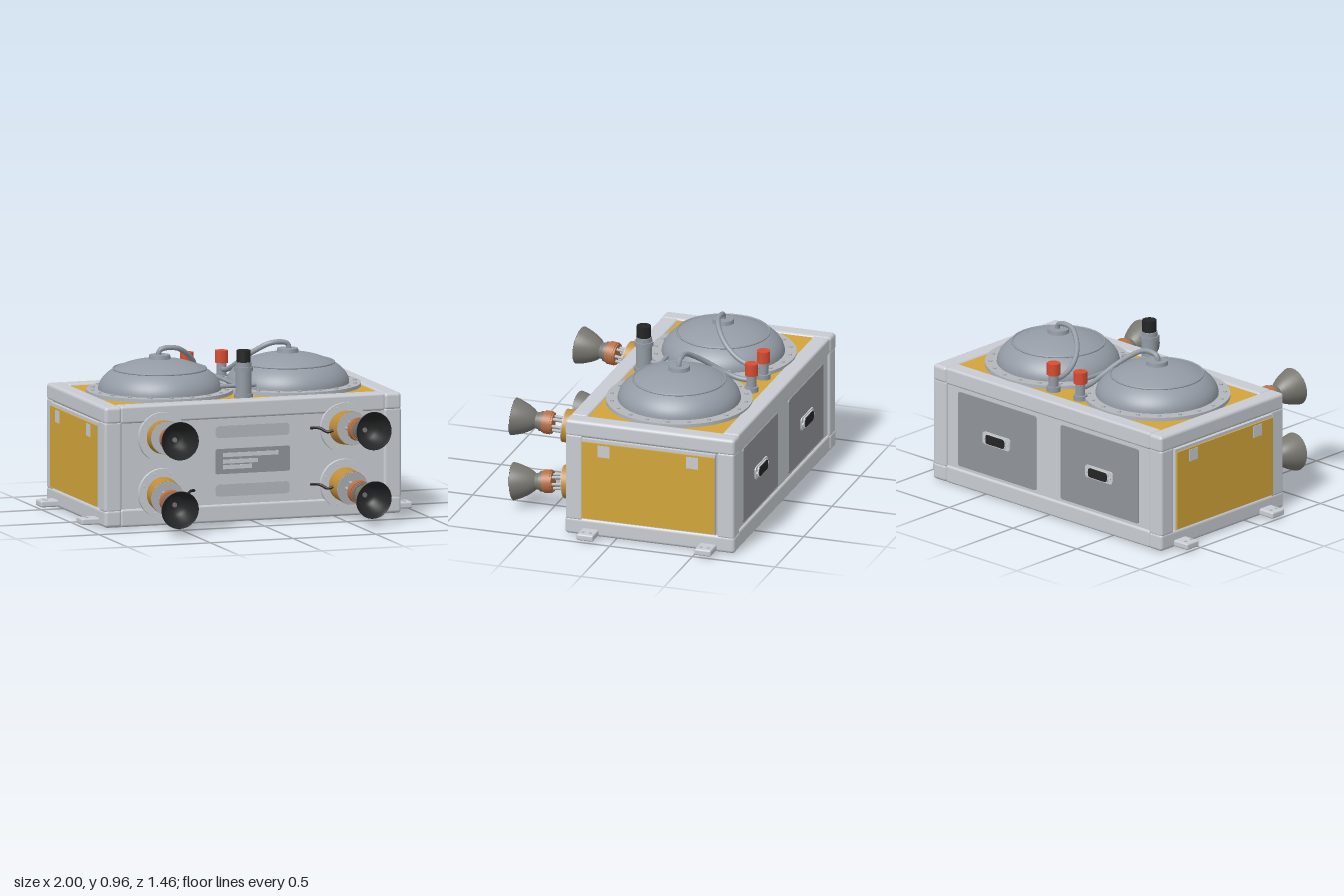
import * as THREE from 'three';
import { RoundedBoxGeometry } from 'three/addons/geometries/RoundedBoxGeometry.js';

const mat = (name, color) => {
  const m = new THREE.MeshStandardMaterial({ color });
  m.name = name;
  return m;
};

export function createModel() {
  const M = {
    frame: mat('light grey frame', 0xc8ccd2),
    pale: mat('mid grey metal', 0xb2b6bb),
    steel: mat('tank steel', 0x949ba5),
    panel: mat('dark grey panel', 0x909499),
    gold: mat('gold foil', 0xd2a53a),
    brass: mat('thruster gold', 0xc18e38),
    copper: mat('copper', 0xb87044),
    bell: mat('nozzle grey', 0x777670),
    black: mat('black', 0x242526),
    red: mat('red cap', 0xd94d33),
  };
  const root = new THREE.Group();
  root.name = 'propulsionModule';

  const add = (parent, name, geo, m, x = 0, y = 0, z = 0) => {
    const mesh = new THREE.Mesh(geo, m);
    mesh.name = name;
    mesh.position.set(x, y, z);
    parent.add(mesh);
    return mesh;
  };
  // Boxes given by their limits on each axis
  const box = (name, m, x0, x1, y0, y1, z0, z1, r = 0) => {
    const [w, h, d] = [x1 - x0, y1 - y0, z1 - z0];
    const geo = r ? new RoundedBoxGeometry(w, h, d, 3, r) : new THREE.BoxGeometry(w, h, d);
    return add(root, name, geo, m, (x0 + x1) / 2, (y0 + y1) / 2, (z0 + z1) / 2);
  };
  // Upright cylinder between two heights
  const cyl = (parent, name, m, r0, r1, y0, y1, x = 0, z = 0, n = 32) =>
    add(parent, name, new THREE.CylinderGeometry(r1, r0, y1 - y0, n), m, x, (y0 + y1) / 2, z);
  const tube = (parent, name, m, pts, r) => add(parent, name, new THREE.TubeGeometry(
    new THREE.CatmullRomCurve3(pts.map(p => new THREE.Vector3(...p))), 40, r, 10), m);
  const lathe = (parent, name, m, pts) => add(parent, name,
    new THREE.LatheGeometry(pts.map(p => new THREE.Vector2(...p)), 48), m);
  // Flat plate with rounded corners, facing +z
  const plate = (w, h, r, t) => {
    const s = new THREE.Shape();
    const [a, b] = [w / 2, h / 2];
    s.absarc(a - r, b - r, r, 0, Math.PI / 2);
    s.absarc(-a + r, b - r, r, Math.PI / 2, Math.PI);
    s.absarc(-a + r, -b + r, r, Math.PI, Math.PI * 1.5);
    s.absarc(a - r, -b + r, r, Math.PI * 1.5, Math.PI * 2);
    return new THREE.ExtrudeGeometry(s, { depth: t, bevelEnabled: false, curveSegments: 6 });
  };

  // Body core, top foil and underside
  box('bodyCore', M.frame, -0.88, 0.88, 0.02, 0.68, -0.7, 0.293);
  box('topFoil', M.gold, -0.8, 0.8, 0.675, 0.69, -0.62, 0.21);
  box('undersidePlate', M.pale, -0.87, 0.87, 0, 0.02, -0.685, 0.275);

  // Frame beams and corner posts
  for (const [y0, y1] of [[0.003, 0.106], [0.6, 0.7]]) {
    for (const z of [-0.715, 0.2]) box('crossBeam', M.frame, -0.8, 0.8, y0, y1, z + 0.002, z + 0.103, 0.014);
    for (const s of [-1, 1]) {
      const b = box('sideBeam', M.frame, 0.793, 0.897, y0, y1, -0.718, 0.308, 0.02);
      b.position.x *= s;
    }
  }
  for (const s of [-1, 1]) {
    for (const z of [-0.715, 0.2]) {
      box('cornerPost', M.frame, 0.793, 0.897, 0.09, 0.615, z, z + 0.105, 0.016).position.x *= s;
    }
    // Foil side panels with pale patches
    box('sidePanelBacking', M.frame, 0.87, 0.904, 0.108, 0.6, -0.605, 0.2).position.x *= s;
    box('sideFoil', M.gold, 0.9, 0.914, 0.115, 0.583, -0.602, 0.198).position.x *= s;
    for (const z of [0.03, -0.505]) {
      box('sidePatch', M.frame, 0.912, 0.917, 0.503, 0.573, z, z + 0.072).position.x *= s;
    }
    // Mounting feet
    for (const z of [0.102, -0.61]) {
      box('foot', M.frame, 0.87, 1, 0.01, 0.048, z, z + 0.1, 0.01).position.x *= s;
      for (const dz of [0.028, 0.072]) cyl(root, 'footBolt', M.pale, 0.009, 0.009, 0.047, 0.051, s * 0.96, z + dz, 12);
    }
  }

  // Front slots and label plate
  for (const y of [0.523, 0.185]) add(root, 'frontSlot', plate(0.445, 0.07, 0.02, 0.005), M.pale, 0, y, 0.291);
  add(root, 'labelPlate', plate(0.45, 0.145, 0.012, 0.007), M.panel, 0, 0.353, 0.292);
  for (const [x1, y] of [[0.155, 0.39], [0.03, 0.352], [-0.005, 0.32]]) {
    box('labelBar', M.frame, -0.18, x1, y - 0.012, y + 0.012, 0.297, 0.302);
  }

  // Rear hatches with connectors
  for (const s of [-1, 1]) {
    const hatch = new THREE.Group();
    hatch.name = 'rearHatch';
    hatch.position.set(s * 0.402, 0.35, -0.699);
    hatch.rotation.y = Math.PI;
    root.add(hatch);
    add(hatch, 'hatchPlate', plate(0.61, 0.45, 0.015, 0.008), M.panel);
    add(hatch, 'connectorPlate', plate(0.215, 0.075, 0.02, 0.01), M.frame, 0, 0, 0.005);
    add(hatch, 'connectorShell', plate(0.152, 0.062, 0.015, 0.01), M.frame, 0, 0, 0.013);
    add(hatch, 'connectorSocket', plate(0.144, 0.054, 0.014, 0.008), M.black, 0, 0, 0.02);
    for (const x of [-0.09, 0.09]) {
      const b = cyl(hatch, 'connectorScrew', M.frame, 0.01, 0.01, 0, 0.012, x, 0.019, 6);
      b.rotation.x = Math.PI / 2;
      b.position.y = 0;
    }
  }

  // Domed tanks with bolted flanges, feed pipes and red valves
  for (const s of [-1, 1]) {
    const tank = new THREE.Group();
    tank.name = 'tank';
    tank.position.set(s * 0.387, 0, -0.21);
    root.add(tank);
    cyl(tank, 'tankFlange', M.pale, 0.42, 0.42, 0.685, 0.711, 0, 0, 64);
    const profile = [];
    for (let i = 0; i <= 20; i++) {
      const a = (i / 20) * Math.PI / 2;
      profile.push([Math.max(0.353 * Math.cos(a), 0.0001), 0.708 + 0.18 * Math.sin(a)]);
    }
    lathe(tank, 'dome', M.steel, profile);
    const seam = add(tank, 'domeSeam', new THREE.TorusGeometry(0.265, 0.006, 8, 64), M.steel, 0, 0.829, 0);
    seam.rotation.x = Math.PI / 2;
    for (let i = 0; i < 20; i++) {
      const a = ((i + 0.5) / 20) * Math.PI * 2;
      cyl(tank, 'flangeBolt', M.pale, 0.011, 0.011, 0.71, 0.718, 0.388 * Math.cos(a), 0.388 * Math.sin(a), 6);
    }
    cyl(tank, 'domeCap', M.steel, 0.064, 0.06, 0.875, 0.908);
    tube(root, 'feedPipe', M.steel, [
      [0.395, 0.895, -0.21], [0.388, 0.932, -0.21], [0.355, 0.945, -0.21], [0.28, 0.94, -0.214],
      [0.21, 0.9, -0.25], [0.15, 0.845, -0.31], [0.115, 0.79, -0.39], [0.105, 0.76, -0.47], [0.105, 0.755, -0.55],
    ].map(([x, y, z]) => [x * s, y, z]), 0.015);
    cyl(root, 'valveBase', M.steel, 0.04, 0.04, 0.685, 0.72, s * 0.105, -0.55);
    cyl(root, 'valveStem', M.steel, 0.028, 0.028, 0.71, 0.8, s * 0.105, -0.55);
    cyl(root, 'valveCap', M.red, 0.04, 0.04, 0.79, 0.86, s * 0.105, -0.55, 8);
  }

  // Filler post and the lines joining it to the tanks
  cyl(root, 'postBase', M.steel, 0.055, 0.055, 0.685, 0.715, 0, 0.137);
  cyl(root, 'post', M.steel, 0.046, 0.046, 0.7, 0.897, 0, 0.137);
  cyl(root, 'postCollar', M.steel, 0.057, 0.057, 0.845, 0.87, 0, 0.137, 8);
  cyl(root, 'postCap', M.black, 0.041, 0.041, 0.895, 0.965, 0, 0.137, 16);
  tube(root, 'centreLine', M.steel, [[0, 0.745, 0.12], [0, 0.745, -0.13], [0, 0.745, -0.39]], 0.012);
  tube(root, 'crossLine', M.steel, [[-0.11, 0.745, 0.035], [0, 0.745, 0.035], [0.11, 0.745, 0.035]], 0.012);

  // Four splayed thrusters
  const up = new THREE.Vector3(0, 1, 0);
  for (const sx of [-1, 1]) for (const sy of [-1, 1]) {
    const [x, y] = [sx * 0.55, 0.352 + sy * 0.163];
    const base = new THREE.Group();
    base.name = 'thrusterMount';
    base.position.set(x, y, 0.29);
    base.rotation.x = Math.PI / 2;
    root.add(base);
    cyl(base, 'mountFlange', M.frame, 0.144, 0.144, 0, 0.028, 0, 0, 48);
    for (let i = 0; i < 8; i++) {
      const a = ((i + 0.5) / 8) * Math.PI * 2;
      cyl(base, 'mountBolt', M.frame, 0.008, 0.008, 0.025, 0.034, 0.122 * Math.cos(a), 0.122 * Math.sin(a), 6);
    }

    const t = new THREE.Group();
    t.name = 'thruster';
    t.position.set(x, y, 0.31);
    t.quaternion.setFromUnitVectors(up, new THREE.Vector3(sx * 0.088, sy * 0.088, 1).normalize());
    root.add(t);
    cyl(t, 'valveHousing', M.brass, 0.097, 0.097, 0, 0.11);
    cyl(t, 'housingCap', M.pale, 0.095, 0.095, 0.1, 0.115);
    for (let i = 0; i < 6; i++) {
      const a = (i / 6) * Math.PI * 2;
      cyl(t, 'strut', M.pale, 0.009, 0.009, 0.105, 0.185, 0.04 * Math.cos(a), 0.04 * Math.sin(a), 10);
    }
    cyl(t, 'copperBand', M.copper, 0.062, 0.062, 0.18, 0.24);
    cyl(t, 'copperRing', M.copper, 0.067, 0.067, 0.19, 0.23);
    cyl(t, 'chamber', M.bell, 0.058, 0.058, 0.235, 0.256);
    cyl(t, 'throat', M.bell, 0.052, 0.046, 0.25, 0.281);
    const bell = [[0.044, 0.28], [0.062, 0.3], [0.08, 0.33], [0.095, 0.365], [0.104, 0.392], [0.11, 0.415]];
    lathe(t, 'nozzleBell', M.bell, bell);
    const liner = bell.map(([r, h]) => [r - 0.003, h + 0.002]);
    lathe(t, 'nozzleLiner', M.black, [[0.11, 0.415], ...liner.reverse(), [0.0001, 0.284]]);
    cyl(t, 'injector', M.bell, 0.014, 0.014, 0.28, 0.29, 0, 0, 16);

    // Cable from housing to front panel
    tube(root, 'cable', M.black, [
      [0.47, 0, 0.375], [0.43, -0.012, 0.365], [0.39, 0.008, 0.335], [0.352, 0.004, 0.29],
    ].map(([a, b, c]) => [a * sx, y + b, c]), 0.008);
  }
  return root;
}
